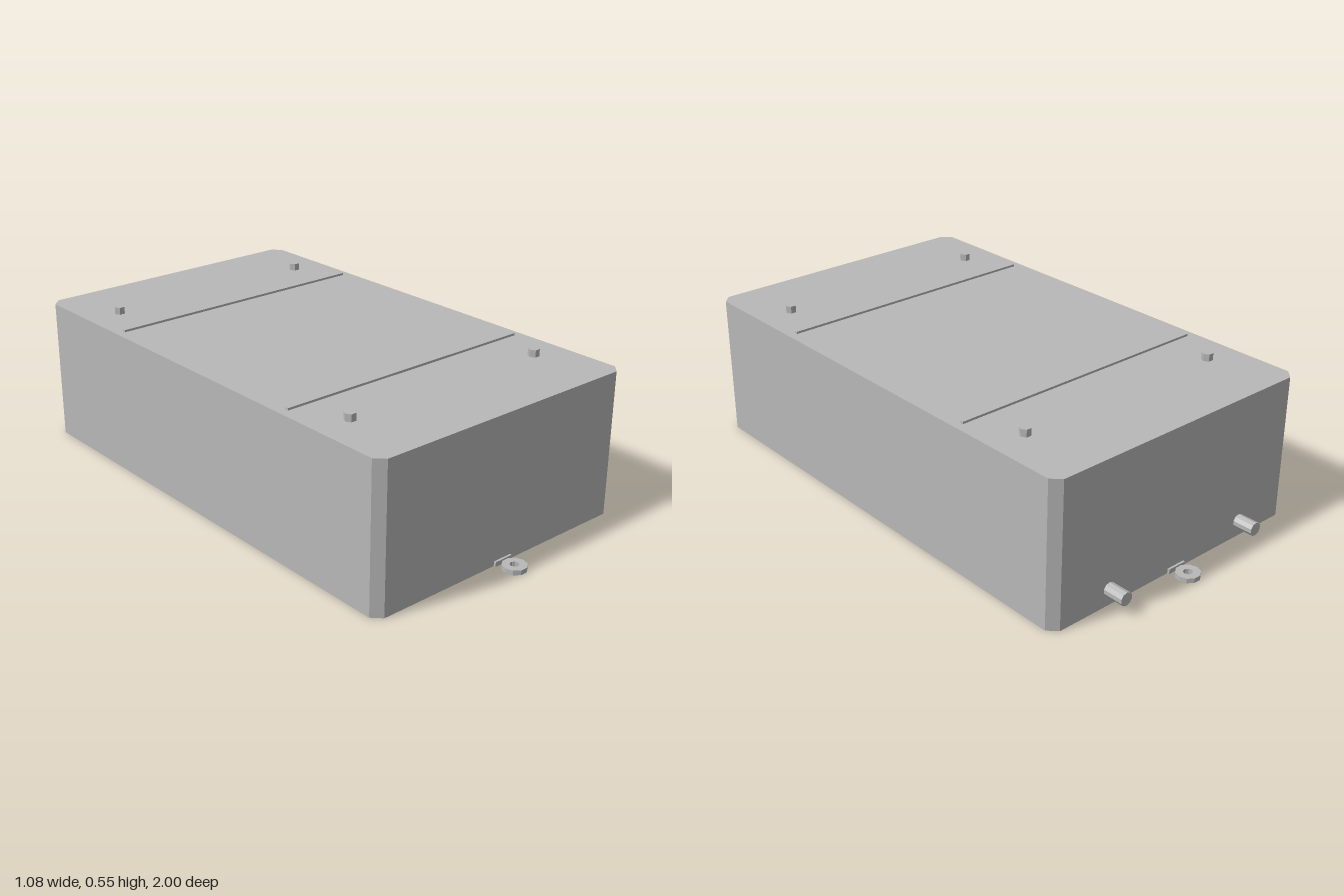
import * as THREE from 'three';

export function createModel() {
  const model = new THREE.Group();
  const grey = new THREE.MeshStandardMaterial({ color: 0xb8b8b8, flatShading: true });
  grey.name = 'plain grey';

  const add = (name, geometry, x, y, z) => {
    const mesh = new THREE.Mesh(geometry, grey);
    mesh.name = name;
    mesh.position.set(x, y, z);
    model.add(mesh);
    return mesh;
  };

  // Extrude a plan outline upwards from its base
  const extrudeUp = (shape, depth) =>
    new THREE.ExtrudeGeometry(shape, { depth, bevelEnabled: false, curveSegments: 10 }).rotateX(-Math.PI / 2);

  // Box body with chamfered vertical corners
  const w = 0.542, d = 0.904, c = 0.032, h = 0.523;
  const outline = new THREE.Shape([
    [w, -d + c], [w, d - c], [w - c, d], [-w + c, d],
    [-w, d - c], [-w, -d + c], [-w + c, -d], [w - c, -d],
  ].map(([x, y]) => new THREE.Vector2(x, y)));
  add('body', extrudeUp(outline, h), 0, 0, 0);

  // Ten-sided eyelet outline with a round hole
  const polygon = (r) => Array.from({ length: 10 }, (_, i) => {
    const a = (i / 10) * Math.PI * 2;
    return new THREE.Vector2(Math.cos(a) * r, Math.sin(a) * r);
  });
  const eyelet = new THREE.Shape(polygon(0.042));
  eyelet.holes.push(new THREE.Path(polygon(0.016)));

  for (const s of [-1, 1]) {
    const end = s > 0 ? 'front' : 'back';

    // Raised strip across the lid
    add(end + 'Strip', new THREE.BoxGeometry(1.02, 0.008, 0.012), 0, h + 0.004, s * 0.453);

    // Fastening eyelet and its mounting plate
    add(end + 'Eyelet', extrudeUp(eyelet, 0.017), 0, 0, s * 0.958);
    add(end + 'EyeletPlate', new THREE.BoxGeometry(0.074, 0.017, 0.014), 0, 0.0085, s * 0.905);

    // Hexagonal lid pegs
    for (const side of [-1, 1]) {
      const peg = new THREE.CylinderGeometry(0.02, 0.02, 0.027, 6).rotateY(Math.PI / 6);
      add(end + (side > 0 ? 'LeftPeg' : 'RightPeg'), peg, side * 0.412, h + 0.0125, s * 0.633);
    }
  }

  // Pipe stubs on the back wall
  for (const side of [-1, 1]) {
    const pipe = new THREE.CylinderGeometry(0.024, 0.024, 0.08, 10).rotateX(Math.PI / 2);
    add(side > 0 ? 'leftPipe' : 'rightPipe', pipe, side * 0.304, 0.06, -0.938);
  }

  return model;
}
